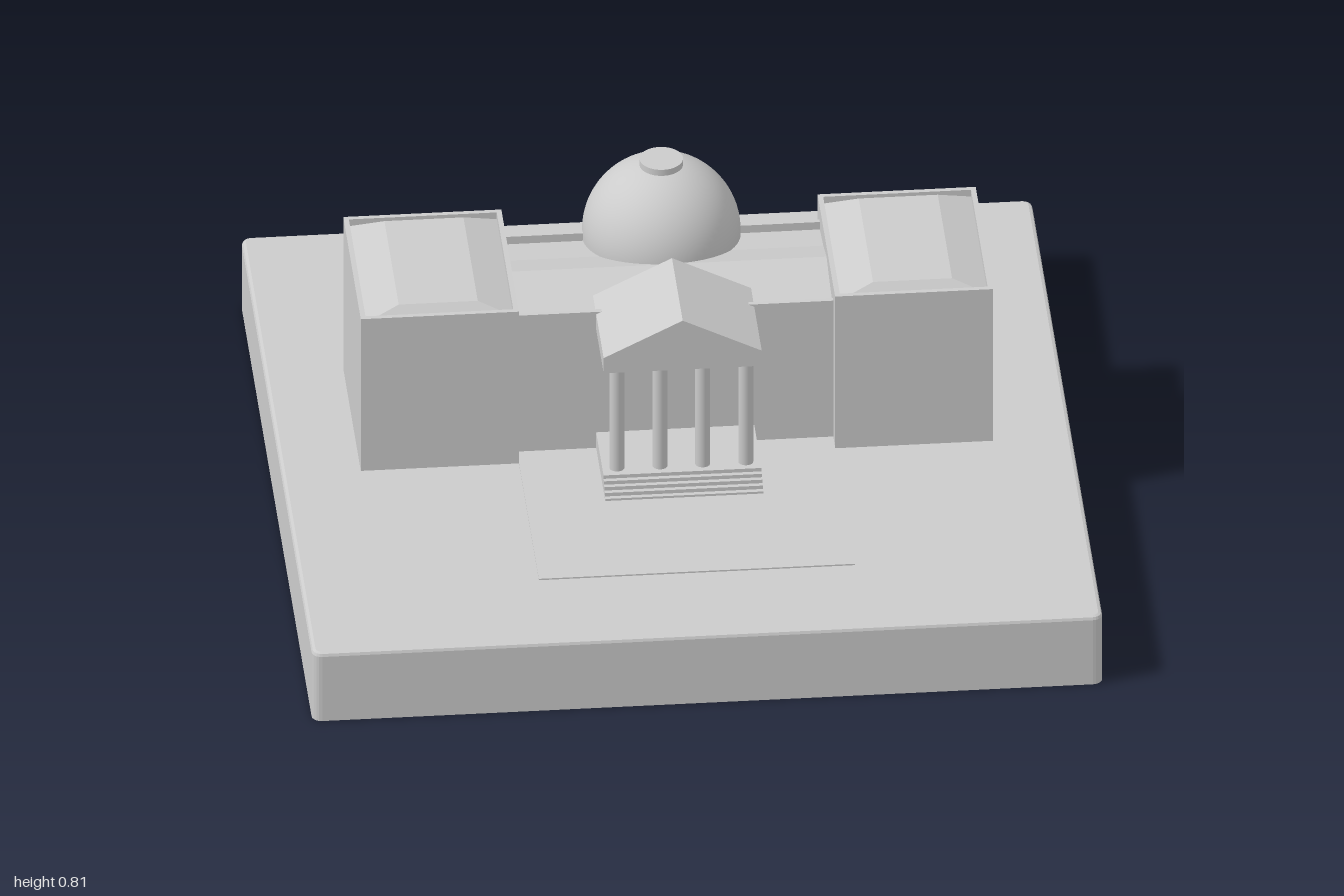
import * as THREE from 'three';

const mat = new THREE.MeshStandardMaterial({ color: 0xcccccc });
const thin = new THREE.MeshStandardMaterial({ color: 0xcccccc, side: THREE.DoubleSide });

function add(parent, name, geometry, x = 0, y = 0, z = 0, material = mat) {
  const mesh = new THREE.Mesh(geometry, material);
  mesh.name = name;
  mesh.position.set(x, y, z);
  parent.add(mesh);
  return mesh;
}

// Box given by its limits
function block(parent, name, x0, x1, y0, y1, z0, z1) {
  return add(parent, name, new THREE.BoxGeometry(x1 - x0, y1 - y0, z1 - z0),
    (x0 + x1) / 2, (y0 + y1) / 2, (z0 + z1) / 2);
}

// Outline (w, d) with rounded corners, as [x, z] points
function outline(w, d, r, steps) {
  const pts = [];
  [[1, 1], [-1, 1], [-1, -1], [1, -1]].forEach(([sx, sz], k) => {
    for (let i = 0; i <= steps; i++) {
      const a = (k + (steps ? i / steps : 0)) * Math.PI / 2;
      pts.push([sx * (w / 2 - r) + r * Math.cos(a), sz * (d / 2 - r) + r * Math.sin(a)]);
    }
  });
  return pts;
}

// Flat-faced skin over stacked outlines, closed on top and open below
function loft(rings) {
  const pos = [];
  const put = (...ps) => ps.forEach(p => pos.push(...p));
  const at = (k, i) => {
    const { y, pts } = rings[k], p = pts[i % pts.length];
    return [p[0], y, p[1]];
  };
  const n = rings[0].pts.length, top = rings.length - 1;
  for (let k = 0; k < top; k++) {
    for (let i = 0; i < n; i++) {
      const a = at(k, i), b = at(k, i + 1), c = at(k + 1, i + 1), d = at(k + 1, i);
      put(a, c, b, a, d, c);
    }
  }
  for (let i = 0; i < n; i++) put([0, rings[top].y, 0], at(top, i + 1), at(top, i));
  const g = new THREE.BufferGeometry();
  g.setAttribute('position', new THREE.Float32BufferAttribute(pos, 3));
  g.computeVertexNormals();
  return g;
}

function prism(points, depth) {
  const shape = new THREE.Shape(points.map(p => new THREE.Vector2(...p)));
  return new THREE.ExtrudeGeometry(shape, { depth, bevelEnabled: false });
}

function createWing(side) {
  const wing = new THREE.Group();
  wing.name = side > 0 ? 'leftWing' : 'rightWing';
  wing.position.set(side * 0.6, 0, -0.105);
  const hx = 0.2, hz = 0.245, t = 0.013;
  block(wing, 'wingWalls', -hx, hx, 0.2, 0.63, -hz, hz);
  // Parapet around the roof
  for (const s of [-1, 1]) {
    const x = s * (hx - t / 2), z = s * (hz - t / 2);
    block(wing, 'wingParapet', x - t / 2, x + t / 2, 0.63, 0.65, -hz, hz);
    block(wing, 'wingParapet', -hx + t, hx - t, 0.63, 0.65, z - t / 2, z + t / 2);
  }
  // Low hipped roof with a flat top
  add(wing, 'wingRoof', loft([
    { y: 0.63, pts: outline(0.374, 0.464, 0, 0) },
    { y: 0.66, pts: outline(0.2, 0.4, 0, 0) },
  ]));
  return wing;
}

function createRotunda() {
  const g = new THREE.Group();
  g.name = 'rotunda';
  g.position.z = -0.3;
  add(g, 'roundPlaza', new THREE.CylinderGeometry(0.51, 0.51, 0.004, 64), 0, 0.202, 0);
  add(g, 'drum', new THREE.CylinderGeometry(0.2, 0.2, 0.4, 64, 1, true), 0, 0.4, 0);
  add(g, 'dome', new THREE.SphereGeometry(0.2, 64, 24, 0, Math.PI * 2, 0, Math.PI / 2), 0, 0.6, 0);
  add(g, 'domeCap', new THREE.CylinderGeometry(0.055, 0.055, 0.025, 32), 0, 0.7975, 0);
  // Round steps at the foot of the drum
  for (let i = 0; i < 5; i++) {
    const r = 0.285 - i * 0.017;
    add(g, 'roundStep', new THREE.CylinderGeometry(r, r, 0.01, 64), 0, 0.205 + i * 0.01, 0);
  }
  return g;
}

function createPortico() {
  const g = new THREE.Group();
  g.name = 'portico';
  // Front steps
  for (let i = 0; i < 5; i++) {
    block(g, 'porticoStep', -0.2, 0.2, 0.2 + i * 0.01, 0.21 + i * 0.01, 0.08, 0.345 - i * 0.012);
  }
  for (const x of [-0.163, -0.054, 0.054, 0.163]) {
    add(g, 'column', new THREE.CylinderGeometry(0.019, 0.019, 0.305, 24), x, 0.4025, 0.262);
  }
  block(g, 'entablature', -0.2, 0.2, 0.555, 0.6, 0.08, 0.3);
  add(g, 'pediment', prism([[-0.2, 0.6], [0.2, 0.6], [0, 0.7]], 0.3));
  return g;
}

export function createModel() {
  const model = new THREE.Group();
  model.name = 'domedHall';

  // Hollow ground slab with softened corners and top edge
  add(model, 'groundSlab', loft([
    { y: 0, pts: outline(2, 2, 0.025, 5) },
    { y: 0.19, pts: outline(2, 2, 0.025, 5) },
    { y: 0.197, pts: outline(1.994, 1.994, 0.022, 5) },
    { y: 0.2, pts: outline(1.98, 1.98, 0.015, 5) },
  ]), 0, 0, 0, thin);
  block(model, 'frontPlaza', -0.4, 0.4, 0.2, 0.204, 0, 0.7);

  // Central hall with parapets and a flared ridge roof
  block(model, 'hallWalls', -0.4, 0.4, 0.2, 0.585, -0.3, 0.09);
  block(model, 'hallParapet', -0.4, 0.4, 0.585, 0.607, 0.077, 0.09);
  block(model, 'hallParapet', -0.4, 0.4, 0.585, 0.607, -0.3, -0.287);
  const roof = prism([[-0.077, 0.585], [0.287, 0.585], [0.19, 0.597], [0.1, 0.62], [0.01, 0.597]], 0.8);
  add(model, 'hallRoof', roof, -0.4, 0, 0).rotation.y = Math.PI / 2;

  model.add(createWing(1), createWing(-1), createRotunda(), createPortico());
  return model;
}
